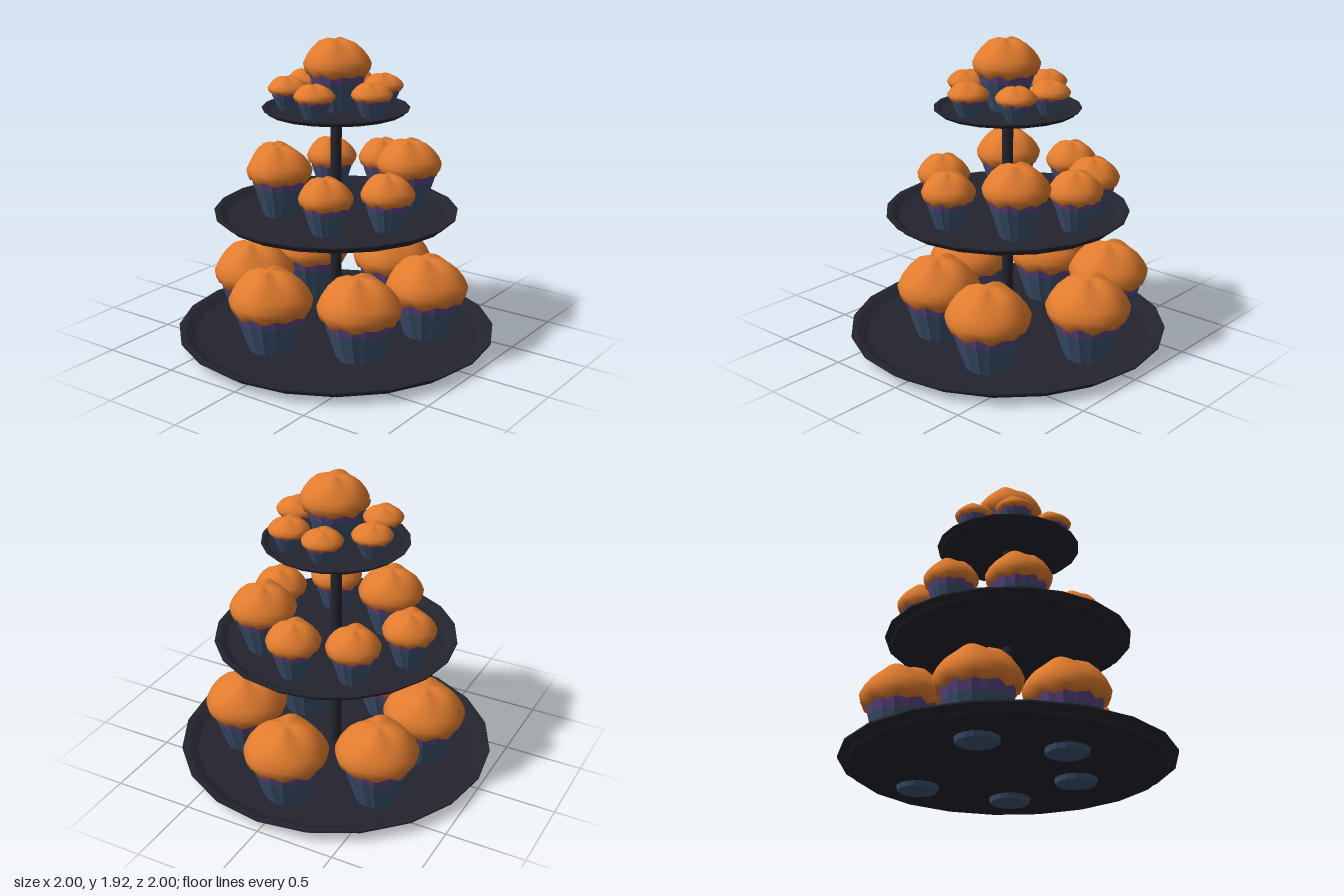
import * as THREE from 'three';
import { toCreasedNormals } from 'three/addons/utils/BufferGeometryUtils.js';

const mat = (name, color) => {
  const m = new THREE.MeshStandardMaterial({ color });
  m.name = name;
  return m;
};

const lathe = (pts, sides) =>
  new THREE.LatheGeometry(pts.map(([r, y]) => new THREE.Vector2(r, y)), sides);

// Apply a rule (vertex, angle, radius) to every vertex
function reshape(geo, rule) {
  const p = geo.attributes.position, v = new THREE.Vector3();
  for (let i = 0; i < p.count; i++) {
    v.fromBufferAttribute(p, i);
    rule(v, Math.atan2(v.x, v.z), Math.hypot(v.x, v.z));
    p.setXYZ(i, v.x, v.y, v.z);
  }
  return geo;
}

// Paper cup with alternating pleats
const SIDES = 32;
const pleat = (v, a) => {
  const k = 1 + 0.02 * Math.cos(a * SIDES / 2);
  v.x *= k;
  v.z *= k;
};
const cupGeo = toCreasedNormals(reshape(lathe([[0, 0], [0.12, 0], [0.198, 0.24]], SIDES), pleat), 0.3);
const bandGeo = toCreasedNormals(reshape(lathe([[0.198, 0.24], [0.218, 0.315]], SIDES), pleat), 0.3);

// Domed, slightly lumpy cake top with a ragged lower edge
const capProfile = [[0.205, 0.298], [0.232, 0.298], [0.25, 0.33], [0.258, 0.37], [0.235, 0.42],
  [0.195, 0.475], [0.14, 0.523], [0.075, 0.549], [0, 0.556]];
const capGeo = toCreasedNormals(reshape(lathe(capProfile, 40), (v, a, r) => {
  if (v.y < 0.3) v.y += 0.011 * Math.sin(a * 10) + 0.005 * Math.sin(a * 7);
  const shoulder = Math.sin(Math.PI * Math.min(1, r / 0.26));
  const k = 1 + 0.012 * Math.sin(3 * a + 1) + 0.012 * Math.sin(5 * a);
  v.x *= k;
  v.z *= k;
  if (v.y > 0.4) {
    v.y += 0.012 * shoulder * Math.sin(4 * a + 0.6);
    v.x -= 0.05 * (v.y - 0.4);
  }
}), 1.3);

// Dished plate of unit radius
const plateProfile = [[0, 0], [0.94, 0], [0.955, 0.02], [1, 0.042], [1, 0.052],
  [0.96, 0.05], [0.9, 0.02], [0, 0.02]];
const plateGeo = toCreasedNormals(lathe(plateProfile, 20), 0.25);

// Each tier: plate radius, base height, thickness scale,
// then cakes as [x, z, base y, width scale, height scale]
const tiers = [
  { name: 'bottomTier', r: 1, y: 0.03, t: 1, cakes: [
    [0, -0.64, 0, 1, 1], [-0.5, -0.42, 0.032, 0.98, 0.98], [-0.56, 0.13, 0, 1, 1],
    [0.5, -0.28, 0, 1, 1], [0.36, 0.26, 0, 1, 1], [-0.15, 0.47, 0, 1, 1]] },
  { name: 'middleTier', r: 0.755, y: 0.81, t: 0.88, cakes: [
    [-0.33, -0.41, 0.826, 0.635, 0.635], [0, -0.53, 0.84, 0.635, 0.635], [0.315, -0.34, 0.835, 0.785, 0.785],
    [-0.535, -0.08, 0.826, 0.635, 0.635], [0.44, 0.085, 0.813, 0.635, 0.635],
    [0.19, 0.365, 0.813, 0.635, 0.635], [-0.265, 0.225, 0.825, 0.785, 0.785]] },
  { name: 'topTier', r: 0.45, y: 1.475, t: 0.52, cakes: [
    [0.01, 0, 1.477, 0.8, 0.79], [-0.06, -0.28, 1.489, 0.48, 0.36], [0.19, -0.23, 1.489, 0.48, 0.36],
    [0.295, 0.05, 1.489, 0.48, 0.36], [0.05, 0.285, 1.489, 0.48, 0.36],
    [-0.225, 0.18, 1.489, 0.48, 0.36], [-0.28, -0.08, 1.489, 0.48, 0.36]] },
];

export function createModel() {
  const root = new THREE.Group();
  root.name = 'cupcakeStand';
  const dark = mat('darkStand', 0x24242e);
  const orange = mat('orangeCake', 0xe07b2e);
  const blue = mat('bluePaper', 0x3d5270);
  const purple = mat('purplePaper', 0x5c4580);

  const add = (parent, name, geo, material) => {
    const m = new THREE.Mesh(geo, material);
    m.name = name;
    parent.add(m);
    return m;
  };

  // Central pole
  const pole = add(root, 'pole',
    toCreasedNormals(new THREE.CylinderGeometry(0.035, 0.035, 1.435, 12), 0.6), dark);
  pole.position.y = 0.7575;

  for (const tier of tiers) {
    const group = new THREE.Group();
    group.name = tier.name;
    root.add(group);

    const plate = add(group, 'plate', plateGeo, dark);
    plate.scale.set(tier.r, tier.t, tier.r);
    plate.position.y = tier.y;

    for (const [x, z, y, w, h] of tier.cakes) {
      const cake = new THREE.Group();
      cake.name = 'cupcake';
      add(cake, 'paperCup', cupGeo, blue);
      add(cake, 'paperBand', bandGeo, purple);
      add(cake, 'cakeTop', capGeo, orange);
      cake.position.set(x, y, z);
      cake.scale.set(w, h, w);
      group.add(cake);
    }
  }
  return root;
}
